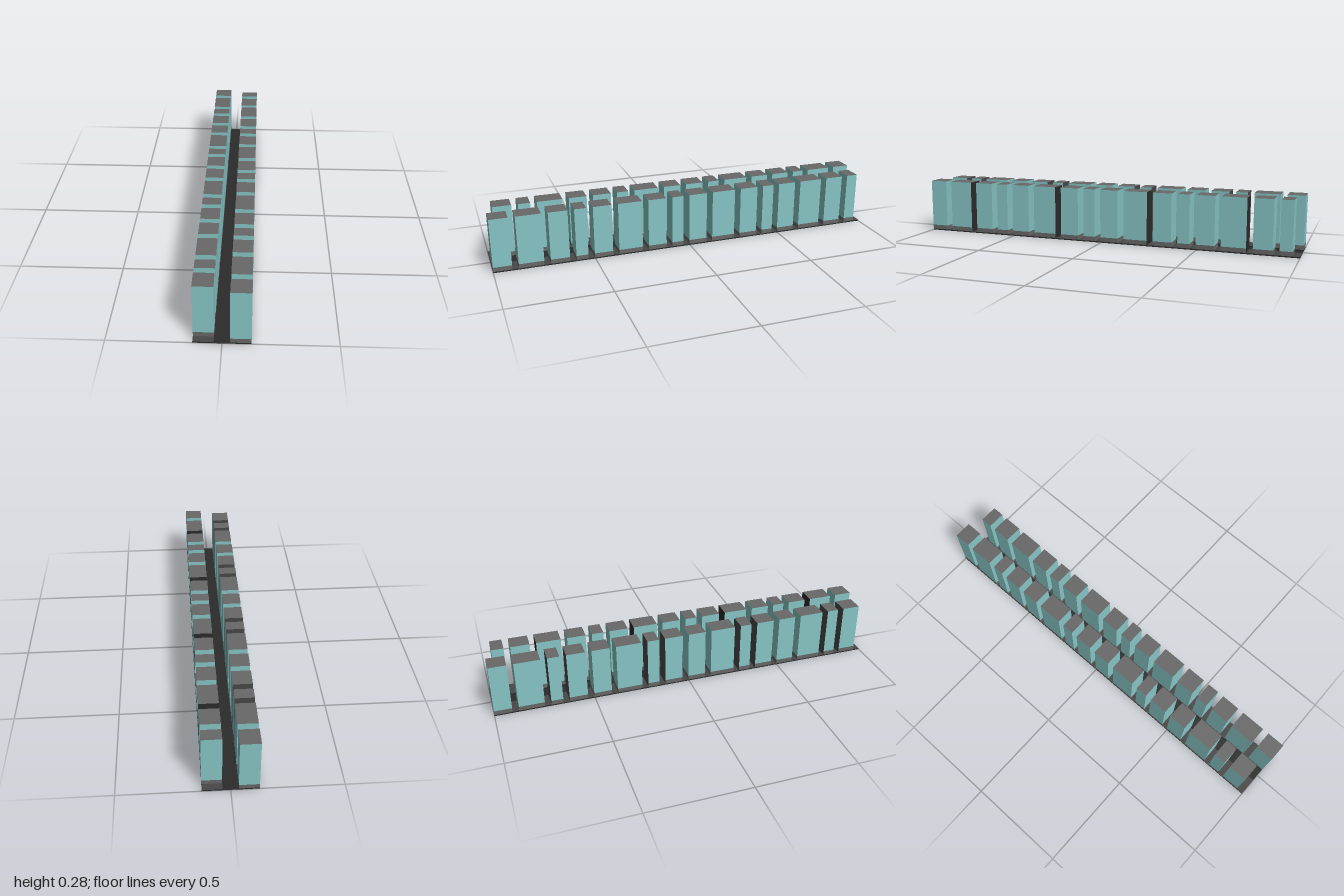
import * as THREE from 'three';

const flat = (name, color) => {
  const m = new THREE.MeshStandardMaterial({ color });
  m.name = name;
  return m;
};

export function createModel() {
  const glass = flat('glass', 0x88c6c6);
  const concrete = flat('concrete', 0x686868);
  const pavement = flat('pavement', 0x484848);
  const asphalt = flat('asphalt', 0x2b2b2b);
  asphalt.side = THREE.DoubleSide;

  const INNER = 0.035, OUTER = 0.126, WIDTH = OUTER - INNER;
  const CURB = 0.006, BASE = 0.028, TOP = 0.275, GAP = 0.032, PERIOD = 0.5;

  const city = new THREE.Group();
  city.name = 'street';

  const addBox = (parent, name, size, pos, material) => {
    const mesh = new THREE.Mesh(new THREE.BoxGeometry(...size), material);
    mesh.position.set(...pos);
    mesh.name = name;
    parent.add(mesh);
  };

  // Flat road between the two pavements
  const road = new THREE.Mesh(new THREE.PlaneGeometry(INNER * 2, 2), asphalt);
  road.rotation.x = -Math.PI / 2;
  road.name = 'road';
  city.add(road);

  // Each row: gap centres repeat every half unit; dark back walls follow certain gaps
  const rows = [
    { name: 'leftRow', side: 1, gaps: [0.893, 0.738, 0.611, 0.519], dark: [0.738], wall: asphalt },
    { name: 'rightRow', side: -1, gaps: [0.981, 0.856, 0.764, 0.604], dark: [0.856, 0.764], wall: pavement },
  ];

  for (const { name, side, gaps, dark, wall } of rows) {
    const row = new THREE.Group();
    row.name = name;
    const x = side * (INNER + OUTER) / 2;

    // Pavement slab with dark edges
    addBox(row, 'pavement', [WIDTH, CURB, 2], [x, CURB / 2, 0],
      [asphalt, asphalt, pavement, asphalt, asphalt, asphalt]);

    // All gaps from front to back
    const all = [];
    for (let k = 0; k < 4; k++) {
      for (const g of gaps) all.push({ z: g - k * PERIOD, dark: dark.includes(g) });
    }
    all.push({ z: -1 - GAP / 2, dark: false });

    // Buildings fill the space between neighbouring gaps
    let front = 1;
    for (const gap of all) {
      const back = Math.max(-1, gap.z + GAP / 2);
      const depth = front - back, z = (front + back) / 2;
      if (depth > 0.01) {
        const building = new THREE.Group();
        building.name = 'building';
        const rear = gap.dark ? wall : glass;
        addBox(building, 'base', [WIDTH, BASE - CURB, depth], [x, (BASE + CURB) / 2, z],
          [concrete, concrete, concrete, concrete, concrete, gap.dark ? wall : concrete]);
        addBox(building, 'tower', [WIDTH, TOP - BASE, depth], [x, (TOP + BASE) / 2, z],
          [glass, glass, concrete, concrete, glass, rear]);
        row.add(building);
      }
      front = gap.z - GAP / 2;
    }
    city.add(row);
  }
  return city;
}
